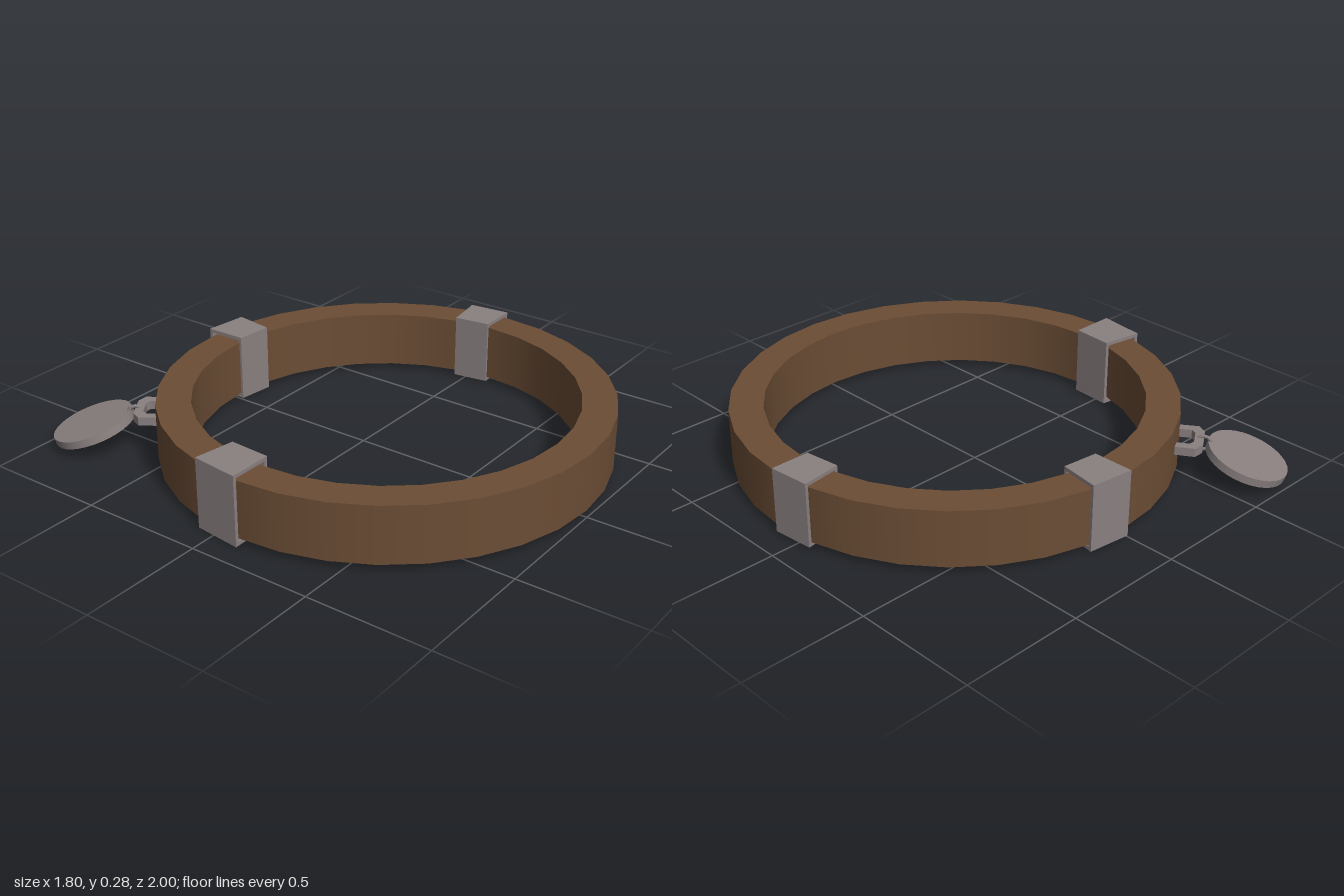
import * as THREE from 'three';
import { mergeGeometries } from 'three/addons/utils/BufferGeometryUtils.js';

const CENTRE_Z = 0.11; // centre of the band

// Band: four lathed strips, so the edges stay sharp and the walls smooth
function bandGeometry(inner, outer, y0, y1) {
  const p = [[outer, y0], [outer, y1], [inner, y1], [inner, y0]];
  const strips = p.map((a, i) => {
    const b = p[(i + 1) % 4];
    return new THREE.LatheGeometry([new THREE.Vector2(...a), new THREE.Vector2(...b)], 32);
  });
  return mergeGeometries(strips);
}

function rectangle(Type, x0, y0, x1, y1) {
  const r = new Type();
  r.moveTo(x0, y0);
  r.lineTo(x1, y0);
  r.lineTo(x1, y1);
  r.lineTo(x0, y1);
  r.closePath();
  return r;
}

// Hollow sleeve: a rectangular frame swept between two ends given in plan [x, z]
function sleeveGeometry([outA, inA, outB, inB], y0, y1) {
  const frame = rectangle(THREE.Shape, 0, y0, 1, y1);
  frame.holes.push(rectangle(THREE.Path, 0.08, y0 + 0.015, 0.92, y1 - 0.015));
  const geo = new THREE.ExtrudeGeometry(frame, { depth: 1, bevelEnabled: false });
  const pos = geo.attributes.position;
  const mix = THREE.MathUtils.lerp;
  for (let i = 0; i < pos.count; i++) {
    const u = pos.getX(i), t = pos.getZ(i);
    const [x, z] = [0, 1].map(k => mix(mix(outA[k], inA[k], u), mix(outB[k], inB[k], u), t));
    pos.setXYZ(i, x, pos.getY(i), z);
  }
  geo.computeVertexNormals();
  return geo;
}

export function createModel() {
  const model = new THREE.Group();
  model.name = 'collar';
  const leather = new THREE.MeshStandardMaterial({ color: 0x6b4d35 });
  leather.name = 'brown leather';
  const metal = new THREE.MeshStandardMaterial({ color: 0x8a8080 });
  metal.name = 'grey metal';

  const add = (parent, name, geometry, material) => {
    const mesh = new THREE.Mesh(geometry, material);
    mesh.name = name;
    parent.add(mesh);
    return mesh;
  };

  add(model, 'band', bandGeometry(0.75, 0.885, 0.03, 0.26), leather).position.z = CENTRE_Z;

  // Three metal sleeves around the band
  const sleeves = [
    ['backSleeve', [[0.175, -0.775], [0.15, -0.613], [0, -0.797], [0.003, -0.63]], 0.01, 0.285],
    ['leftSleeve', [[0.9, 0.105], [0.74, 0.105], [0.883, -0.063], [0.72, -0.04]], 0.015, 0.28],
    ['rightSleeve', [[-0.882, -0.077], [-0.715, -0.05], [-0.905, 0.117], [-0.725, 0.117]], 0.005, 0.288],
  ];
  for (const [name, plan, y0, y1] of sleeves) add(model, name, sleeveGeometry(plan, y0, y1), metal);

  // Hanging tag: local +z points outward from the band
  const tag = new THREE.Group();
  tag.name = 'tag';
  tag.position.z = CENTRE_Z;
  tag.rotation.y = Math.atan2(-0.555, -0.83);
  model.add(tag);

  // U-shaped link with chamfered corners
  const half = [[0.09, 0.85], [0.092, 0.955], [0.055, 0.98]];
  const halfInside = [[0.035, 0.945], [0.055, 0.93], [0.055, 0.85]];
  const mirror = list => list.map(([x, z]) => [-x, z]).reverse();
  const outline = [...half, ...mirror(half), ...mirror(halfInside), ...halfInside];
  const link = new THREE.Shape(outline.map(([x, z]) => new THREE.Vector2(x, z)));
  const linkGeo = new THREE.ExtrudeGeometry(link, { depth: 0.035, bevelEnabled: false });
  linkGeo.rotateX(Math.PI / 2);
  add(tag, 'link', linkGeo, metal).position.y = 0.165;

  // Small eyelet joining link and disc
  const eyelet = add(tag, 'eyelet', new THREE.TorusGeometry(0.028, 0.008, 6, 12), metal);
  eyelet.rotation.y = Math.PI / 2;
  eyelet.position.set(0.005, 0.143, 0.98);

  // Disc sloping down away from the band
  const disc = add(tag, 'disc', new THREE.CylinderGeometry(0.163, 0.163, 0.032, 32), metal);
  disc.position.set(0.01, 0.09, 1.148);
  disc.rotation.x = 0.31;

  return model;
}
